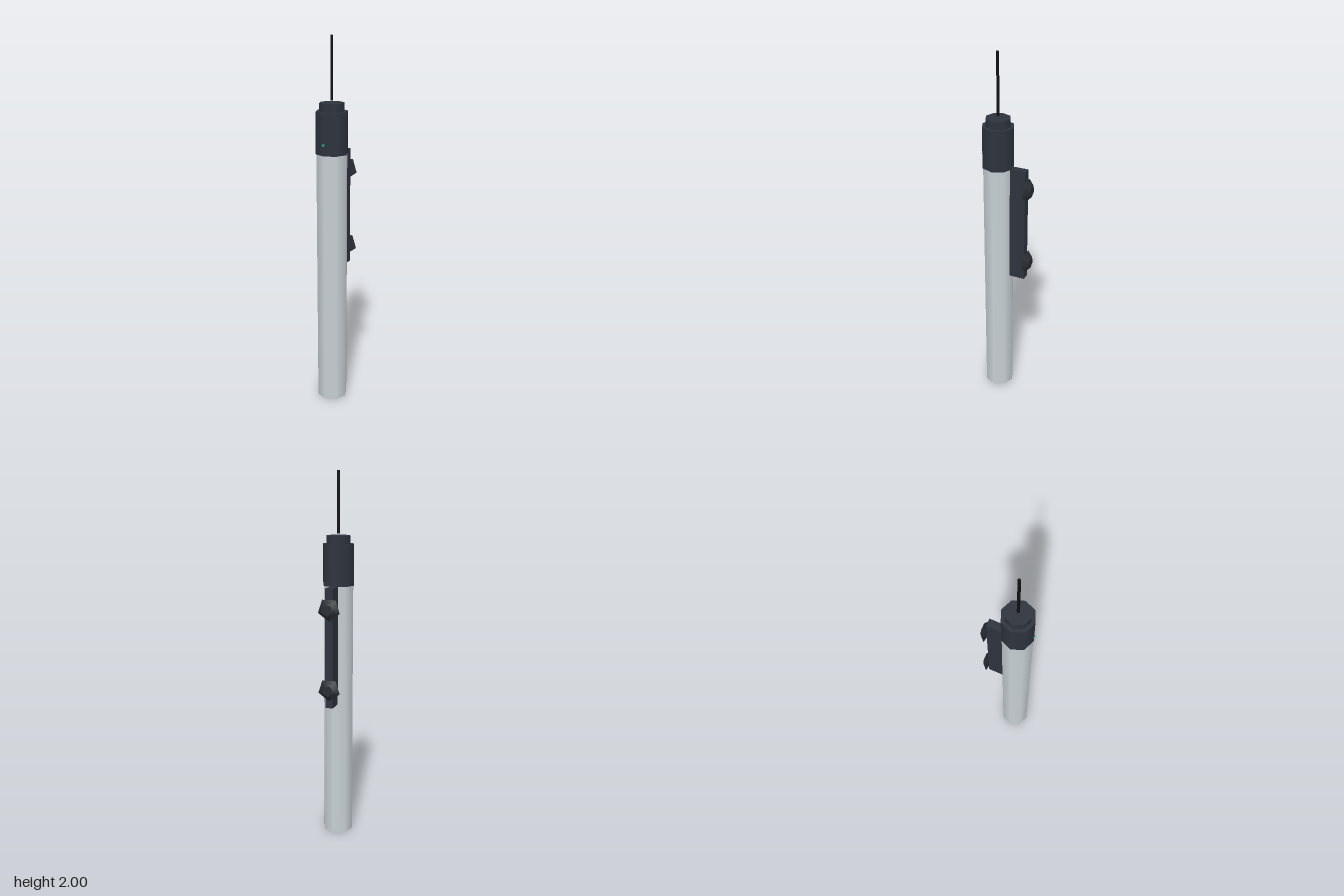
import * as THREE from 'three';

export function createModel() {
  const model = new THREE.Group();
  model.name = 'antennaUnit';
  const AXIS_Z = 0.05; // the mast stands forward of the bracket

  const mat = (color) => new THREE.MeshStandardMaterial({ color });
  const tubeMat = mat(0xc8d0d4);
  const darkMat = mat(0x2e333d);
  const knobMat = mat(0x2a2e33);
  const blackMat = mat(0x111214);
  const ledMat = mat(0x22aa77);

  function add(name, geometry, material, x, y, z) {
    const mesh = new THREE.Mesh(geometry, material);
    mesh.name = name;
    mesh.position.set(x, y, z);
    model.add(mesh);
    return mesh;
  }

  // Upright prism on the mast axis between two heights
  function column(name, radius, y0, y1, sides, material) {
    const geo = new THREE.CylinderGeometry(radius, radius, y1 - y0, sides);
    return add(name, geo, material, 0, (y0 + y1) / 2, AXIS_Z);
  }

  // Mast, collar and whip
  column('tube', 0.083, 0, 1.408, 8, tubeMat);
  column('collar', 0.086, 1.405, 1.625, 8, darkMat);
  column('collarTop', 0.066, 1.625, 1.668, 8, darkMat);
  column('whip', 0.008, 1.678, 2, 4, blackMat);

  // Indicator light on the front of the collar
  const led = new THREE.CylinderGeometry(0.007, 0.007, 0.01, 8);
  led.rotateX(Math.PI / 2);
  add('indicatorLight', led, ledMat, 0, 1.462, 0.135);

  // Mounting rail behind the tube
  add('rail', new THREE.BoxGeometry(0.042, 0.643, 0.091), darkMat, 0, 1.085, -0.0645);

  // Five-sided tapered knobs, narrow end to the back
  const knob = new THREE.CylinderGeometry(0.063, 0.032, 0.03, 5);
  knob.rotateX(Math.PI / 2);
  for (const [name, y] of [['upperKnob', 1.297], ['lowerKnob', 0.865]]) {
    add(name, knob, knobMat, 0, y, -0.125);
  }

  return model;
}
